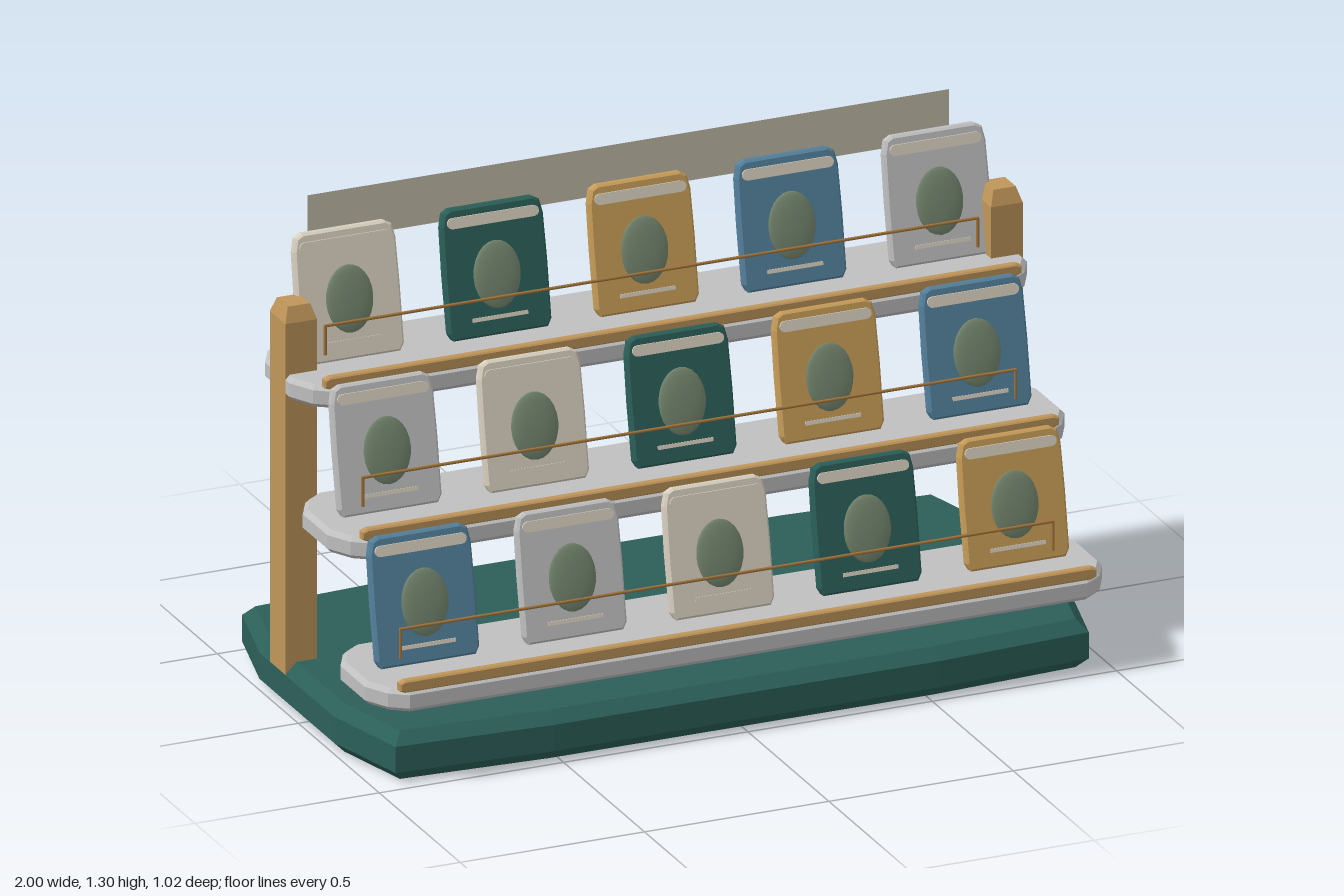
import * as THREE from 'three';

const mat = (name, color, extra = {}) => {
  const m = new THREE.MeshStandardMaterial({ color, ...extra });
  m.name = name;
  return m;
};

// bevelled prism from an outline; depth and outline include the bevel
function bevelled(points, depth, bevel) {
  const shape = new THREE.Shape(points.map(([x, y]) => new THREE.Vector2(x, y)));
  const geo = new THREE.ExtrudeGeometry(shape, {
    depth: depth - 2 * bevel, bevelEnabled: true, bevelSegments: 1,
    bevelSize: bevel, bevelThickness: bevel, bevelOffset: -bevel,
  });
  return geo.translate(0, 0, bevel);
}

// mirrors one corner (ordered from the far edge to the side) into a full outline
function fourCorners(corner) {
  const back = [...corner].reverse();
  return [
    ...back,
    ...corner.map(([x, y]) => [-x, y]),
    ...back.map(([x, y]) => [-x, -y]),
    ...corner.map(([x, y]) => [x, -y]),
  ];
}

const slab = (corner, height, bevel) =>
  bevelled(fourCorners(corner), height, bevel).rotateX(-Math.PI / 2);

export function createModel() {
  const root = new THREE.Group();
  root.name = 'displayStand';

  const green = mat('dark green', 0x2c5f59);
  const wood = mat('wood', 0xc0965a);
  const grey = mat('light grey', 0xc0c0c0);
  const cream = mat('cream', 0xd8d0c0);
  const gold = mat('gold', 0xc79d58);
  const blue = mat('blue', 0x54809c);
  const sage = mat('sage', 0x75876f);
  const bronze = mat('bronze', 0xa3763c);
  const taupe = mat('header taupe', 0xc9c1ae, { side: THREE.DoubleSide });

  const add = (parent, name, geo, material, x = 0, y = 0, z = 0) => {
    const mesh = new THREE.Mesh(geo, material);
    mesh.name = name;
    mesh.position.set(x, y, z);
    parent.add(mesh);
    return mesh;
  };

  // base plinth
  add(root, 'base', slab([[0.52, 0.5], [0.94, 0.475], [1, 0.23]], 0.13, 0.03), green, 0, 0, -0.01);

  // two posts with chamfered tops
  const postShaft = new THREE.BoxGeometry(0.086, 0.94, 0.096);
  const postCap = new THREE.CylinderGeometry(0.032 * Math.SQRT2, 0.0455 * Math.SQRT2, 0.04, 4)
    .rotateY(Math.PI / 4).scale(0.945, 1, 1.055).toNonIndexed();
  postCap.computeVertexNormals();
  for (const s of [-1, 1]) {
    add(root, 'post', postShaft, wood, s * 0.957, 0.57, -0.128);
    add(root, 'postCap', postCap, wood, s * 0.957, 1.06, -0.128);
  }

  // shared shelf geometry
  const shelfGeo = slab([[0.92, 0.172], [0.965, 0.14], [1, 0.075]], 0.06, 0.012);
  const lipGeo = bevelled([[-0.945, -0.01], [-0.93, -0.016], [0.93, -0.016], [0.945, -0.01],
    [0.945, 0.01], [0.93, 0.016], [-0.93, 0.016], [-0.945, 0.01]], 0.024, 0.004).translate(0, 0, -0.012);
  const railGeo = new THREE.CylinderGeometry(0.004, 0.004, 1.775, 6).rotateZ(Math.PI / 2);
  const railEndGeo = new THREE.CylinderGeometry(0.004, 0.004, 0.078, 6);

  // shared packet geometry
  const bodyGeo = bevelled([[-0.128, 0], [0.128, 0], [0.139, 0.02], [0.14, 0.17], [0.138, 0.29],
    [0.13, 0.325], [0.112, 0.335], [-0.112, 0.335], [-0.13, 0.325], [-0.138, 0.29],
    [-0.14, 0.17], [-0.139, 0.02]], 0.03, 0.006).translate(0, 0, -0.015);
  const bandGeo = new THREE.ExtrudeGeometry(new THREE.Shape()
    .moveTo(-0.11, -0.014).lineTo(0.11, -0.014).absarc(0.11, 0, 0.014, -Math.PI / 2, Math.PI / 2)
    .lineTo(-0.11, 0.014).absarc(-0.11, 0, 0.014, Math.PI / 2, Math.PI * 1.5),
  { depth: 0.005, bevelEnabled: false, curveSegments: 4 });
  const badgeGeo = new THREE.SphereGeometry(1, 24, 12).scale(0.064, 0.087, 0.011);
  const captionGeo = new THREE.BoxGeometry(0.15, 0.01, 0.004);

  function packet(material) {
    const g = new THREE.Group();
    g.name = 'packet';
    add(g, 'packetBody', bodyGeo, material);
    add(g, 'packetBand', bandGeo, cream, 0, 0.299, 0.0145);
    add(g, 'packetBadge', badgeGeo, sage, 0, 0.154, 0.016);
    add(g, 'packetCaption', captionGeo, cream, 0, 0.046, 0.0155);
    return g;
  }

  // three stepped shelves, each with a lip, a wire rail and five packets
  const colours = [cream, green, gold, blue, grey];
  for (let row = 0; row < 3; row++) {
    const shelf = new THREE.Group();
    shelf.name = 'shelf';
    shelf.position.set(0, 0.203 + 0.32 * row, 0.335 - 0.2325 * row);
    root.add(shelf);

    add(shelf, 'shelfBoard', shelfGeo, grey);
    add(shelf, 'shelfLip', lipGeo, wood, 0, 0.07, 0.158);
    add(shelf, 'rail', railGeo, bronze, 0, 0.168, 0.034);
    for (const s of [-1, 1]) add(shelf, 'railEnd', railEndGeo, bronze, s * 0.885, 0.129, 0.034);

    for (let i = 0; i < 5; i++) {
      const p = packet(colours[(i + row + 3) % 5]);
      p.position.set(-0.8 + 0.4 * i, 0.058, 0.005);
      p.rotation.x = -0.19;
      shelf.add(p);
    }
  }

  // thin header panel behind the top row
  add(root, 'headerPanel', new THREE.PlaneGeometry(1.74, 0.13), taupe, 0, 1.24, -0.24);

  return root;
}
